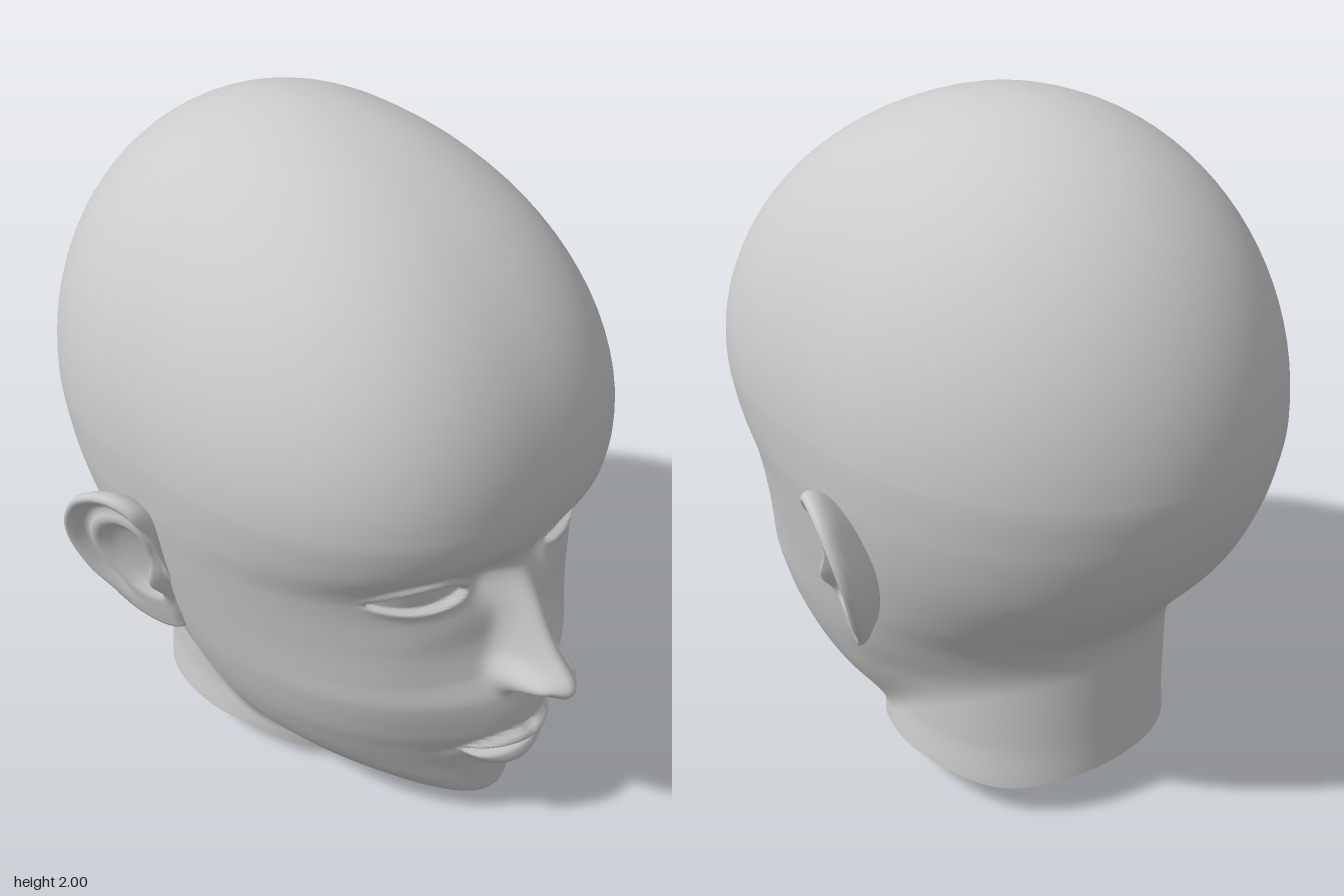
import * as THREE from 'three';

const clamp = (v, a = 0, b = 1) => Math.min(b, Math.max(a, v));
const smooth = (a, b, v) => { const t = clamp((v - a) / (b - a)); return t * t * (3 - 2 * t); };
const bell = (...d) => Math.exp(-d.reduce((s, v) => s + v * v, 0));
const smax = (a, b, k) => Math.max(a, b) + (Math.max(k - Math.abs(a - b), 0) ** 2) / (4 * k);

// Monotone smooth curve through [position, value] pairs
function curve(p) {
  const d = p.slice(1).map((q, i) => (q[1] - p[i][1]) / (q[0] - p[i][0]));
  const m = p.map((_, i) => {
    const a = d[Math.max(i - 1, 0)], b = d[Math.min(i, d.length - 1)];
    return a * b <= 0 ? 0 : (2 * a * b) / (a + b);
  });
  return (x) => {
    if (x <= p[0][0]) return p[0][1];
    if (x >= p[p.length - 1][0]) return p[p.length - 1][1];
    const i = p.findIndex((q) => q[0] > x) - 1;
    const h = p[i + 1][0] - p[i][0], t = (x - p[i][0]) / h, u = 1 - t;
    return p[i][1] * (1 + 2 * t) * u * u + h * m[i] * t * u * u
      + p[i + 1][1] * t * t * (3 - 2 * t) - h * m[i + 1] * t * t * u;
  };
}

// Skull and jaw sections by height; they end level so the dome joins smoothly
const axisZ = curve([[0, 0.05], [0.4, 0.05], [0.55, 0], [0.75, -0.08], [0.95, -0.135], [1.2, -0.15], [1.4, -0.15]]);
const halfWidth = curve([[0, 0.06], [0.03, 0.1], [0.05, 0.16], [0.1, 0.255], [0.2, 0.37], [0.3, 0.44],
  [0.4, 0.487], [0.55, 0.54], [0.7, 0.578], [0.92, 0.625], [1.05, 0.645], [1.2, 0.655], [1.4, 0.655]]);
const frontZ = curve([[0, 0.2], [0.025, 0.25], [0.036, 0.48], [0.05, 0.61], [0.08, 0.66], [0.12, 0.68],
  [0.23, 0.68], [0.35, 0.7], [0.45, 0.73], [0.57, 0.75], [0.66, 0.725], [0.78, 0.7], [0.95, 0.695],
  [1.09, 0.75], [1.2, 0.77], [1.4, 0.77]]);
const backZ = curve([[0, -0.1], [0.2, -0.15], [0.4, -0.33], [0.5, -0.455], [0.6, -0.565], [0.7, -0.685], [0.88, -0.82],
  [1.07, -0.89], [1.2, -0.91], [1.4, -0.91]]);
const squareness = curve([[0, 1.9], [0.3, 1.92], [0.6, 2.08], [0.85, 2.25], [1.1, 2.5], [1.3, 2.6], [1.7, 2.5], [2, 2.2]]);
const neckRim = curve([[-0.6, 0.15], [-0.42, 0.11], [-0.2, 0.13], [0, 0.12], [0.12, 0.07], [0.25, 0]]);

// Nose profile and width by height
const noseHeight = curve([[0.582, 0], [0.598, 0.08], [0.618, 0.155], [0.655, 0.182], [0.73, 0.145],
  [0.84, 0.085], [0.97, 0.014], [1.06, 0]]);
const noseWidth = curve([[0.58, 0.05], [0.65, 0.065], [0.72, 0.06], [0.84, 0.052], [1, 0.065]]);

// Forward push of the face surface at (x, y)
function faceRelief(sx, y) {
  const x = Math.abs(sx);
  // nose, wings and nostrils
  let d = noseHeight(y) * Math.exp(-(Math.abs(x / noseWidth(y)) ** 2.3));
  d += 0.08 * bell((x - 0.077) / 0.034, (y - 0.647) / 0.038);
  d -= 0.025 * bell((x - 0.045) / 0.02, (y - 0.603) / 0.012);
  // mouth area, groove under the nose, lips and slit
  d += 0.05 * bell(x / 0.2, (y - 0.42) / 0.18);
  d -= 0.008 * bell(x / 0.02, (y - 0.5) / 0.05);
  const q = Math.max(0, 1 - (x / 0.175) ** 2);
  if (q > 0) {
    const slit = 0.375 - 0.008 * q;
    const top = slit + 0.072 * q ** 0.8 - 0.01 * bell(x / 0.025), low = slit - 0.128 * q;
    const tu = clamp((y - slit) / (top - slit)), tl = clamp((slit - y) / (slit - low));
    d += 0.038 * Math.sqrt(q) * Math.sin(Math.PI * tu) ** 0.8;
    d += 0.055 * Math.sqrt(q) * Math.sin(Math.PI * tl) ** 0.8;
    d -= 0.08 * q * bell((y - slit) / 0.01);
  }
  d -= 0.006 * bell((x - 0.19) / 0.03, (y - 0.37) / 0.03);
  // eye sockets, brows and cheekbones
  d -= 0.035 * bell((x - 0.24) / 0.15, (y - 0.965) / 0.085);
  d -= 0.025 * bell((x - 0.11) / 0.045, (y - 0.94) / 0.07);
  d += 0.006 * bell((x - 0.25) / 0.16, (y - 1.1) / 0.06);
  d += 0.012 * bell((x - 0.36) / 0.13, (y - 0.75) / 0.13);
  // eyeball and lids
  const u = (x - 0.285) / 0.135, e = Math.max(0, 1 - u * u);
  d += 0.03 * bell((x - 0.285) / 0.11, (y - 0.96) / 0.06);
  const mid = 0.943 + 0.015 * u, up = mid + 0.058 * e, lo = mid - 0.03 * e;
  d -= 0.02 * smooth(0, 0.2, e) * smooth(lo - 0.006, lo + 0.006, y) * (1 - smooth(up - 0.006, up + 0.006, y));
  d += 0.013 * Math.sqrt(e) * bell((y - up - 0.012) / 0.014);
  d -= 0.005 * Math.sqrt(e) * bell((y - up - 0.036) / 0.012);
  d += 0.006 * Math.sqrt(e) * bell((y - lo + 0.012) / 0.013);
  return d;
}

const neckRadius = (s, c, zc) => {
  // ray from the axis to the oval neck section
  const a = 0.41, b = 0.42, o = zc + 0.17;
  const A = (s * s) / (a * a) + (c * c) / (b * b), B = (o * c) / (b * b), C = (o * o) / (b * b) - 1;
  return (-B + Math.sqrt(B * B - A * C)) / A;
};

function headPoint(theta, level) {
  const s = Math.sin(theta), c = Math.cos(theta);
  const rim = neckRim(axisZ(0) + c * neckRadius(s, c, axisZ(0)));
  const y = level < 0.3 ? rim + (level * (0.3 - rim)) / 0.3 : level;
  const zc = axisZ(y);
  let w = halfWidth(y), f = frontZ(y) - zc, b = zc - backZ(y);
  if (y > 1.2) {
    const dome = Math.sqrt(Math.max(0, 1 - ((y - 1.2) / 0.8) ** 2));
    w *= dome ** 1.03; f *= dome ** 1.06; b *= dome;
  }
  const n = c > 0 ? 2 + (squareness(y) - 2) * smooth(0, 0.4, c) : 2;
  let r = (Math.abs(s / w) ** n + Math.abs(c / (c > 0 ? f : b)) ** n) ** (-1 / n);
  if (y < 1) {
    // neck flows into the jaw and the back of the skull
    const flare = 1 + 0.03 * smooth(0.25, 0.1, y) * Math.abs(s);
    r = smax(r, neckRadius(s, c, zc) * flare, 0.04 + 0.1 * smooth(0.1, 0.45, y));
  }
  const x = r * s;
  return [x, y, zc + r * c + (c > 0.2 ? faceRelief(x, y) * smooth(0.2, 0.5, c) * smooth(0.05, 0.12, y) : 0)];
}

// Surface from rows of points
function skin(rows, flip) {
  const n = rows[0].length, index = [];
  for (let i = 0; i < rows.length - 1; i++) for (let j = 0; j < n; j++) {
    const a = i * n + j, b = i * n + ((j + 1) % n), c = a + n, d = b + n;
    index.push(...(flip ? [b, a, c, b, c, d] : [a, b, c, b, d, c]));
  }
  const g = new THREE.BufferGeometry();
  g.setAttribute('position', new THREE.Float32BufferAttribute(rows.flat(2), 3));
  g.setIndex(index);
  g.computeVertexNormals();
  return g;
}

function headGeometry() {
  // rows packed closely at chin, mouth, nose and eyes
  const bands = [[0, 0.06, 16], [0.06, 0.34, 24], [0.34, 0.4, 15], [0.4, 0.57, 16], [0.57, 0.68, 22],
    [0.68, 0.9, 18], [0.9, 1.06, 30], [1.06, 1.2, 8]];
  const levels = bands.flatMap(([a, b, k]) => Array.from({ length: k }, (_, i) => a + ((b - a) * i) / k));
  for (let i = 0; i <= 26; i++) levels.push(1.2 + 0.8 * Math.sin((i / 26) * 1.5705));
  const n = 260;
  return skin(levels.map((y) => Array.from({ length: n }, (_, j) => {
    const t = (2 * j) / n - 1;
    return headPoint(Math.PI * Math.sign(t) * (0.45 * Math.abs(t) + 0.55 * Math.abs(t) ** 2.2), y);
  })), false);
}

// Ear: outline shrunk in loops from behind, over the rim, into the bowl
function earGeometry(side) {
  const outline = [[-0.035, 1.0], [-0.06, 1.065], [-0.13, 1.095], [-0.22, 1.06], [-0.285, 0.97], [-0.305, 0.88],
    [-0.285, 0.78], [-0.24, 0.69], [-0.18, 0.61], [-0.1, 0.575], [-0.035, 0.595], [-0.015, 0.66],
    [-0.02, 0.77], [-0.03, 0.9]];
  const path = new THREE.CatmullRomCurve3(outline.map(([z, y]) => new THREE.Vector3(0, y, z)), true);
  const pts = path.getPoints(72).slice(0, 72);
  const loops = [[0.45, -0.13], [0.75, -0.08], [0.9, -0.04], [0.97, -0.022], [1, 0], [0.985, 0.016], [0.95, 0.026],
    [0.9, 0.026], [0.85, 0.014], [0.8, -0.004], [0.74, -0.01], [0.67, 0.002], [0.6, 0.01], [0.54, 0.004],
    [0.46, -0.014], [0.36, -0.026], [0.15, -0.03], [0.01, -0.03]];
  return skin(loops.map(([k, off], i) => pts.map((p) => {
    const y = 0.84 + (p.y - 0.84) * k, z = -0.12 + (p.z + 0.12) * k;
    const lobe = i > 4 ? smooth(0.76, 0.64, y) : 0;
    const tragus = i > 4 ? 0.035 * bell((z + 0.06) / 0.025, (y - 0.79) / 0.05) : 0;
    const flare = 0.11 * clamp((-z - 0.03) / 0.28) - 0.06 * smooth(-0.055, -0.015, z);
    return [side * (0.395 + 0.255 * y + flare + off * (1 - lobe) + 0.014 * lobe + tragus), y, z];
  })), side > 0);
}

export function createModel() {
  const group = new THREE.Group();
  group.name = 'head';
  const material = new THREE.MeshStandardMaterial({ color: 0xcccccc, side: THREE.DoubleSide });
  const add = (name, geometry) => {
    const mesh = new THREE.Mesh(geometry, material);
    mesh.name = name;
    group.add(mesh);
  };
  add('faceSkullAndNeck', headGeometry());
  add('leftEar', earGeometry(1));
  add('rightEar', earGeometry(-1));
  return group;
}
